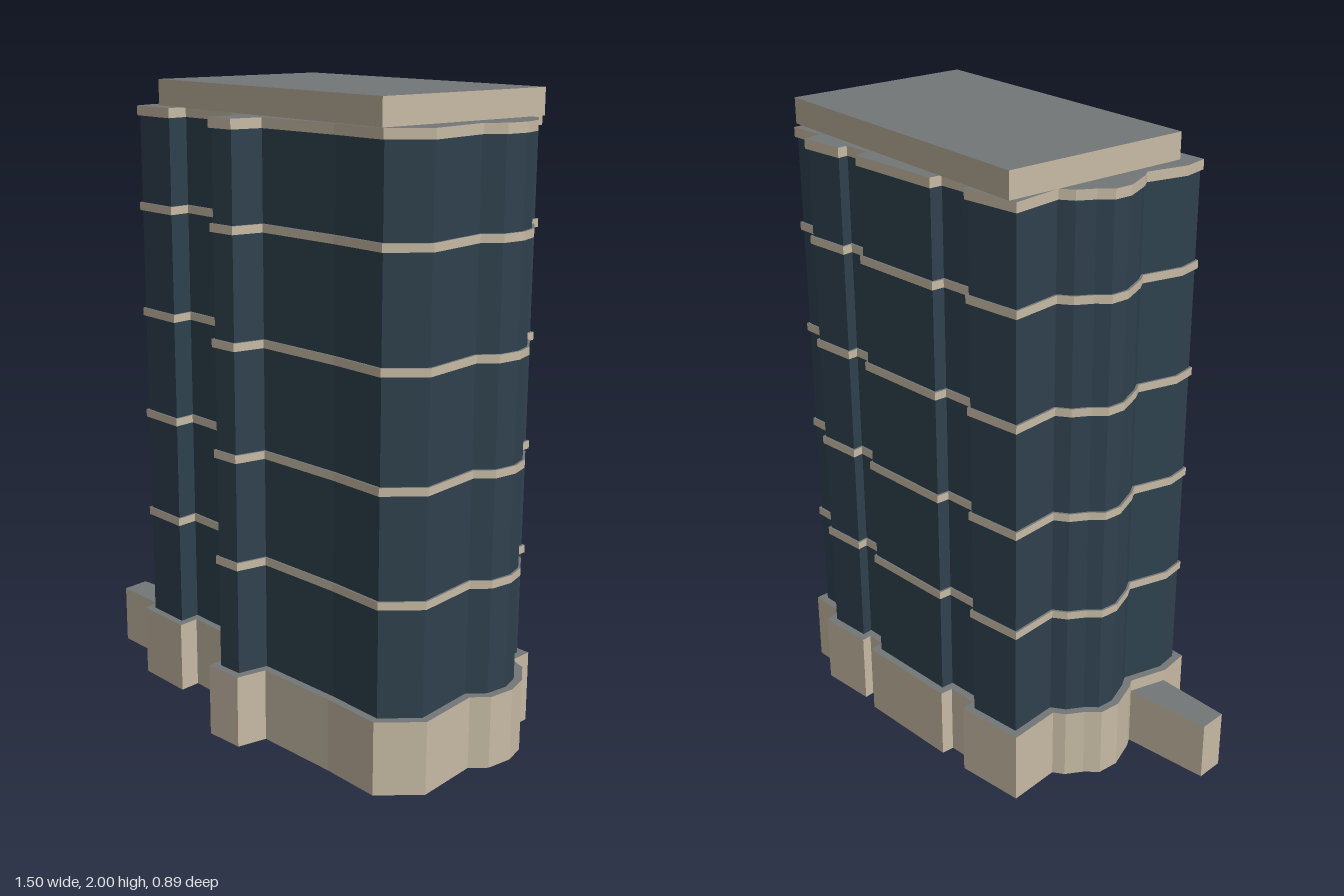
import * as THREE from 'three';

const tan = new THREE.MeshStandardMaterial({ name: 'tan stone', color: 0xc8bba5 });
const glass = new THREE.MeshStandardMaterial({ name: 'dark blue glass', color: 0x2f414e });
const grey = new THREE.MeshStandardMaterial({ name: 'grey roofing', color: 0x747778 });

// Podium outline as [x, z], clockwise seen from above
const footprint = [
  [-0.46, -0.355], [-0.24, -0.39], [-0.232, -0.345], [-0.135, -0.356],
  [-0.135, -0.397], [0.212, -0.43], [0.222, -0.383], [0.28, -0.388],
  [0.275, -0.421], [0.46, -0.445], [0.475, -0.385], [0.6, -0.395],
  [0.605, -0.316], [0.66, -0.302], [0.72, -0.235], [0.745, -0.165],
  [0.739, -0.08], [0.7, -0.03], [0.73, 0.175], [0.635, 0.297],
  [0.44, 0.305], [0.17, 0.33], [0.155, 0.427], [0.03, 0.442],
  [0.02, 0.296], [-0.043, 0.303], [-0.05, 0.262], [-0.282, 0.272],
  [-0.275, 0.34], [-0.47, 0.35], [-0.493, 0.25], [-0.467, 0.122],
  [-0.487, 0.095], [-0.53, 0.005], [-0.53, -0.065], [-0.495, -0.107],
  [-0.467, -0.16], [-0.435, -0.185],
];

// Shrink an outline by a fixed distance with mitred corners
function inset(points, distance) {
  const normal = (a, b) => {
    const dx = b[0] - a[0], dz = b[1] - a[1], len = Math.hypot(dx, dz);
    return [-dz / len, dx / len];
  };
  const n = points.length;
  return points.map((p, i) => {
    const a = normal(points[(i + n - 1) % n], p);
    const b = normal(p, points[(i + 1) % n]);
    const k = distance / (1 + a[0] * b[0] + a[1] * b[1]);
    return [p[0] + (a[0] + b[0]) * k, p[1] + (a[1] + b[1]) * k];
  });
}

// Upright prism with separate materials for the top and the walls
function prism(name, points, bottom, top, wall, cap) {
  const shape = new THREE.Shape(points.map(([x, z]) => new THREE.Vector2(x, -z)));
  const geometry = new THREE.ExtrudeGeometry(shape, { depth: top - bottom, bevelEnabled: false });
  const [caps, sides] = geometry.groups.map((g) => ({ ...g }));
  const half = caps.count / 2;
  geometry.clearGroups();
  geometry.addGroup(caps.start, half, 0); // underside
  geometry.addGroup(caps.start + half, half, 1); // top
  geometry.addGroup(sides.start, sides.count, 0);
  geometry.rotateX(-Math.PI / 2);
  geometry.translate(0, bottom, 0);
  const mesh = new THREE.Mesh(geometry, [wall, cap]);
  mesh.name = name;
  return mesh;
}

export function createModel() {
  const building = new THREE.Group();
  building.name = 'building';

  const bandOutline = inset(footprint, 0.018);
  building.add(
    prism('podium', footprint, 0, 0.235, tan, grey),
    prism('tower', inset(footprint, 0.025), 0.235, 1.89, glass, grey),
    prism('cornice', bandOutline, 1.89, 1.92, tan, grey),
  );

  // Floor bands around the tower
  for (let i = 0; i < 4; i++) {
    const y = 0.575 + i * 0.34;
    building.add(prism('floorBand', bandOutline, y, y + 0.025, tan, grey));
  }

  // Low wing beside the podium
  building.add(prism('sideWing',
    [[-0.75, 0.17], [-0.45, 0.118], [-0.45, 0.243], [-0.74, 0.26]], 0, 0.195, tan, grey));

  // Flat rectangular roof
  building.add(prism('roofSlab',
    [[-0.417, -0.347], [0.617, -0.347], [0.617, 0.275], [-0.417, 0.275]], 1.92, 2, tan, grey));

  return building;
}
